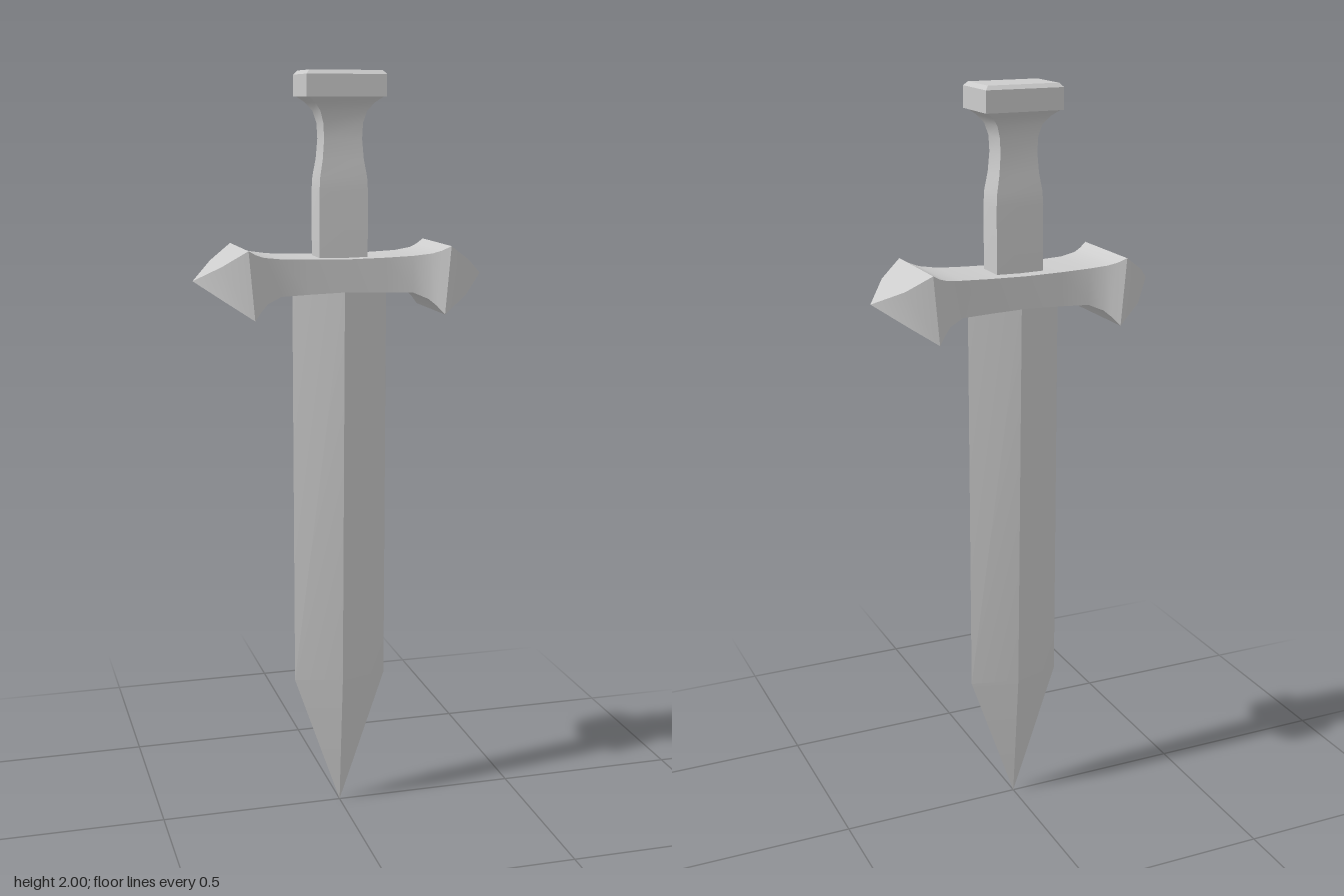
import * as THREE from 'three';
import { toCreasedNormals } from 'three/addons/utils/BufferGeometryUtils.js';

// Joins rings of four corners into a closed skin with end caps.
function loft(rings, crease) {
  const pos = [];
  const tri = (a, b, c) => {
    const area = new THREE.Triangle(
      new THREE.Vector3(...a), new THREE.Vector3(...b), new THREE.Vector3(...c)).getArea();
    if (area > 1e-9) pos.push(...a, ...b, ...c);
  };
  const quad = (a, b, c, d) => { tri(a, b, c); tri(a, c, d); };
  for (let r = 0; r < rings.length - 1; r++) {
    const lo = rings[r], hi = rings[r + 1];
    for (let i = 0; i < 4; i++) {
      const j = (i + 1) % 4;
      quad(lo[i], lo[j], hi[j], hi[i]);
    }
  }
  const [a, b, c, d] = rings[0];
  quad(d, c, b, a);
  quad(...rings[rings.length - 1]);
  const geo = new THREE.BufferGeometry();
  geo.setAttribute('position', new THREE.Float32BufferAttribute(pos, 3));
  return toCreasedNormals(geo, crease);
}

// Horizontal rectangle and diamond, and a rectangle across the guard.
const rect = ([y, x, z]) => [[-x, y, z], [x, y, z], [x, y, -z], [-x, y, -z]];
const diamond = ([y, x, z]) => [[0, y, z], [x, y, 0], [0, y, -z], [-x, y, 0]];
const across = ([xTop, xBottom, top, bottom, z]) =>
  [[xTop, top, z], [xBottom, bottom, z], [xBottom, bottom, -z], [xTop, top, -z]];

export function createModel() {
  const group = new THREE.Group();
  const material = new THREE.MeshStandardMaterial({ color: 0xcccccc });
  const add = (name, geo) => {
    const mesh = new THREE.Mesh(geo, material);
    mesh.name = name;
    group.add(mesh);
  };

  // Blade: diamond section tapering to the point
  add('blade', loft([[0, 0, 0], [0.37, 0.127, 0.035], [1.47, 0.127, 0.054]].map(diamond), 0.15));

  // Crossguard: flared ends with faceted points, mirrored in x
  const half = [
    [0, 0, 1.53, 1.446, 0.081],
    [0.1, 0.1, 1.532, 1.443, 0.082],
    [0.175, 0.175, 1.535, 1.44, 0.084],
    [0.222, 0.213, 1.541, 1.424, 0.096],
    [0.245, 0.232, 1.549, 1.407, 0.108],
    [0.266, 0.251, 1.561, 1.385, 0.12],
    [0.327, 0.32, 1.52, 1.431, 0.085],
    [0.388, 0.388, 1.477, 1.477, 0],
  ];
  const mirrored = half.slice(1).reverse().map(([a, b, ...rest]) => [-a, -b, ...rest]);
  add('crossguard', loft([...mirrored, ...half].map(across), 0.6));

  // Grip: straight below, waisted above, flaring into the pommel
  add('grip', loft([
    [1.5, 0.064, 0.042], [1.7, 0.064, 0.042], [1.735, 0.062, 0.041],
    [1.78, 0.054, 0.037], [1.83, 0.05, 0.035], [1.87, 0.052, 0.036],
    [1.9, 0.061, 0.042], [1.92, 0.077, 0.054], [1.937, 0.1, 0.07],
  ].map(rect), 0.7));

  // Pommel: block with a bevelled top
  add('pommel', loft([
    [1.935, 0.104, 0.073], [1.99, 0.104, 0.073], [2, 0.095, 0.063],
  ].map(rect), 0.3));

  return group;
}
